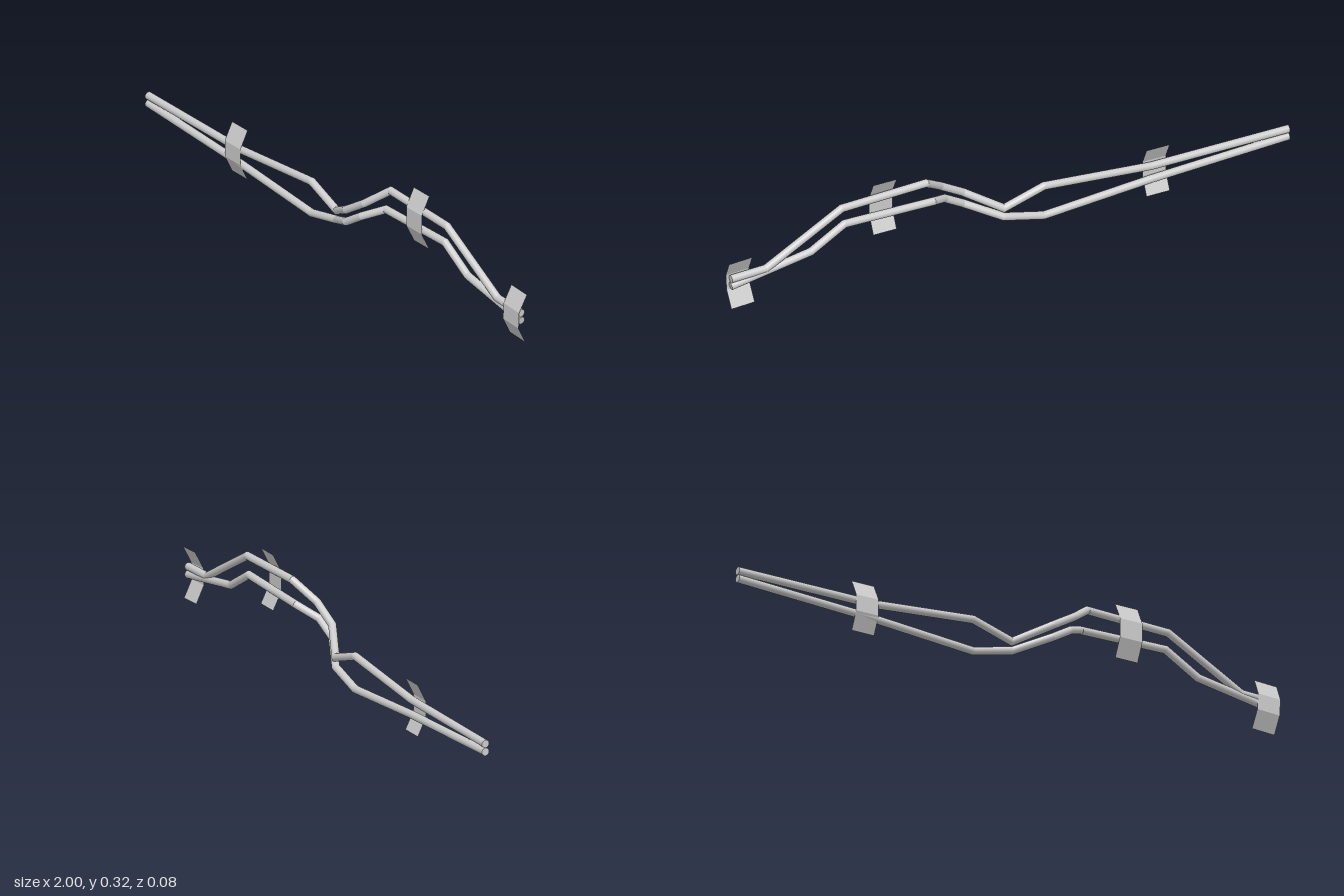
import * as THREE from 'three';

const R = 0.0132, SIDES = 16;
const grey = () => new THREE.MeshStandardMaterial({ color: 0xcccccc });

// Straight-run pipe with mitred elbows: one ring slides along each run to the next mitre plane
function pipe(name, coords) {
  const pts = coords.map(c => new THREE.Vector3(...c));
  const dirs = pts.slice(1).map((p, i) => p.clone().sub(pts[i]).normalize());
  const w = dirs[0].clone().cross(new THREE.Vector3(0, 1, 0)).normalize();
  const u = w.clone().cross(dirs[0]);
  let ring = [];
  for (let i = 0; i <= SIDES; i++) {
    const a = (i / SIDES) * Math.PI * 2;
    ring.push(pts[0].clone().addScaledVector(u, R * Math.cos(a)).addScaledVector(w, R * Math.sin(a)));
  }
  const pos = [], nor = [], idx = [];
  const addRing = (r, normalOf) => r.forEach(v => {
    pos.push(...v.toArray());
    nor.push(...normalOf(v).toArray());
  });
  const addCap = (r, centre, normal, flip) => {
    const base = pos.length / 3;
    addRing([centre, ...r], () => normal);
    for (let i = 1; i <= SIDES; i++) {
      idx.push(base, base + (flip ? i + 1 : i), base + (flip ? i : i + 1));
    }
  };
  addCap(ring, pts[0], dirs[0].clone().negate(), true);
  dirs.forEach((d, s) => {
    const end = pts[s + 1];
    const plane = d.clone().add(dirs[s + 1] ?? d).normalize();
    const next = ring.map(v =>
      v.clone().addScaledVector(d, end.clone().sub(v).dot(plane) / d.dot(plane)));
    const radial = v => {
      const n = v.clone().sub(end);
      return n.addScaledVector(d, -n.dot(d)).normalize();
    };
    const base = pos.length / 3, m = SIDES + 1;
    addRing(ring, radial);
    addRing(next, radial);
    for (let i = 0; i < SIDES; i++) {
      const a = base + i, b = a + m;
      idx.push(a, a + 1, b, a + 1, b + 1, b);
    }
    ring = next;
  });
  addCap(ring, pts.at(-1), dirs.at(-1), false);

  const geo = new THREE.BufferGeometry();
  geo.setAttribute('position', new THREE.Float32BufferAttribute(pos, 3));
  geo.setAttribute('normal', new THREE.Float32BufferAttribute(nor, 3));
  geo.setIndex(idx);
  const mesh = new THREE.Mesh(geo, grey());
  mesh.name = name;
  return mesh;
}

// Thin sheet clamp: flat face in front, two wings folded back
function clamp(name, x, y, z, half, face, depth, tilt) {
  const geo = new THREE.PlaneGeometry(0.083, 1, 1, 3);
  const p = geo.attributes.position;
  const rows = [[half, -depth], [face, 0], [-face, 0], [-half, -depth]];
  for (let i = 0; i < p.count; i++) {
    const [ry, rz] = rows[Math.floor(i / 2)];
    p.setY(i, ry);
    p.setZ(i, rz);
  }
  const flat = geo.toNonIndexed();
  flat.computeVertexNormals();
  const mat = grey();
  mat.side = THREE.DoubleSide;
  mat.flatShading = true;
  const mesh = new THREE.Mesh(flat, mat);
  mesh.name = name;
  mesh.position.set(x, y, z);
  mesh.rotation.z = tilt;
  return mesh;
}

export function createModel() {
  const group = new THREE.Group();
  group.name = 'clampedPipes';
  const B = -0.029; // depth of the runs against the wall

  group.add(pipe('upperPipe', [
    [-1, 0.108, B], [-0.51, 0.108, B], [-0.13, 0.142, B], [0.01, 0.095, -0.024],
    [0.13, 0.16, 0.029], [0.215, 0.213, 0.02], [0.29, 0.273, B],
    [0.59, 0.264, B], [0.86, 0.114, B], [0.985, 0.11, B],
  ]));
  group.add(pipe('lowerPipe', [
    [-1, 0.081, B], [-0.51, 0.059, B], [-0.13, 0.031, B], [0.01, 0.063, -0.024],
    [0.13, 0.118, 0.029], [0.2, 0.162, 0.02], [0.265, 0.197, B],
    [0.58, 0.203, B], [0.7, 0.132, B], [0.985, 0.083, B],
  ]));

  group.add(clamp('rightClamp', -0.53, 0.092, -0.013, 0.087, 0.028, 0.029, 0));
  group.add(clamp('middleClamp', 0.441, 0.231, -0.009, 0.094, 0.033, 0.03, 0));
  group.add(clamp('leftClamp', 0.952, 0.092, -0.013, 0.086, 0.028, 0.029, -0.05));
  return group;
}
